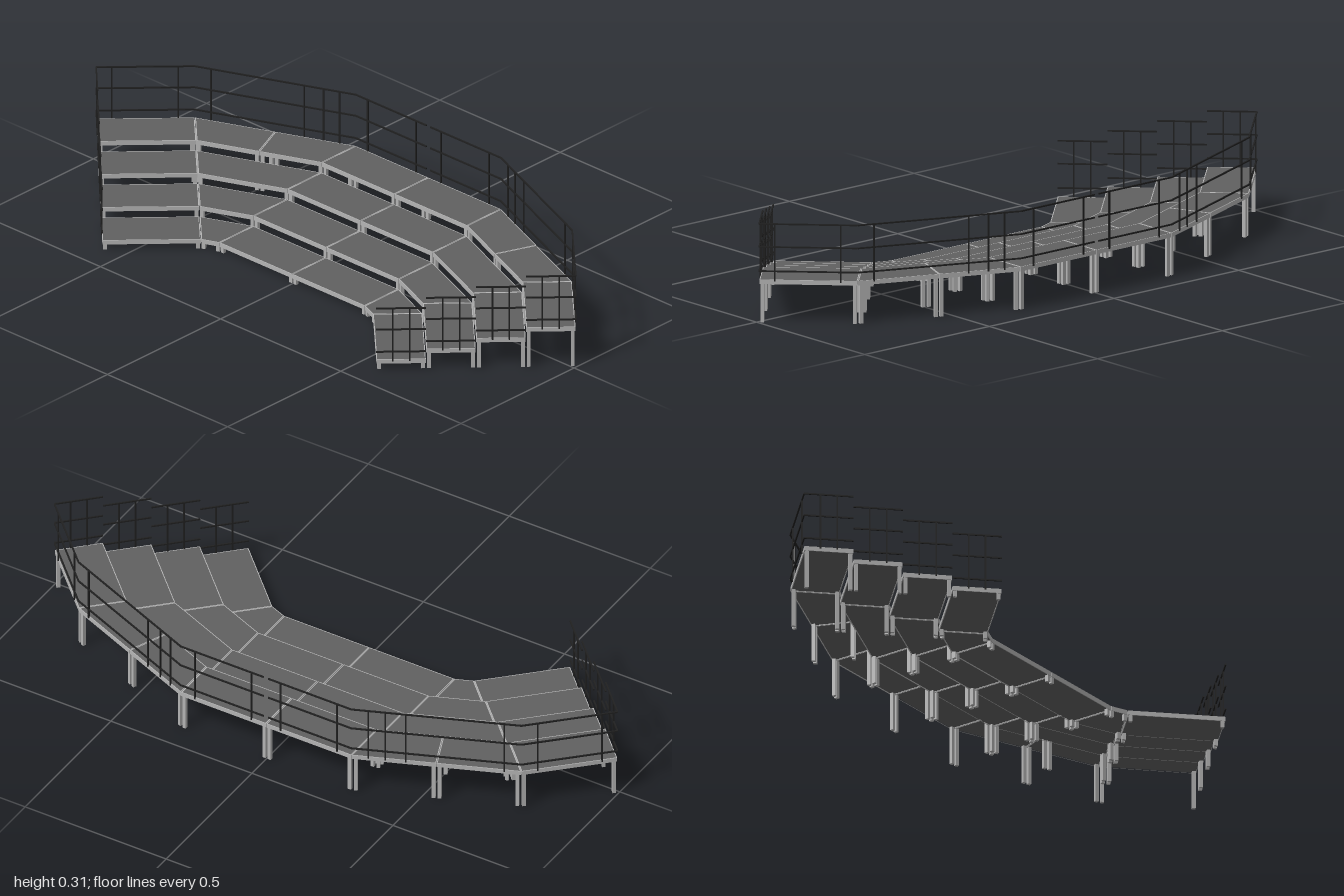
import * as THREE from 'three';

const frameMat = new THREE.MeshStandardMaterial({ color: 0xb4b4b4 });
const deckMat = new THREE.MeshStandardMaterial({ color: 0x606060 });
const railMat = new THREE.MeshStandardMaterial({ color: 0x202020 });

const ROWS = 4, DECK = 0.014, LEG = 0.011, RAIL = 0.0045;
const topOf = row => 0.033 + row * 0.034;
const lerp = (a, b, t) => [a[0] + (b[0] - a[0]) * t, a[1] + (b[1] - a[1]) * t];

// Plan lines (x, z) running from the front edge to the back edge of the stand
const lines = {
  middle: [[0, 0.185], [0, -0.418]],
  inner: [[0.302, 0.185], [0.302, -0.418]],
  outer: [[0.357, 0.207], [0.785, -0.22]],
  end: [[0.57, 0.418], [0.998, -0.01]],
};
const at = (name, step) => lerp(...lines[name], step / ROWS);

// Moves every edge of a convex outline inwards by d
function inset(poly, d) {
  return poly.map((p, i) => {
    const n = poly.length, a = poly[(i + 1) % n], b = poly[(i + n - 1) % n];
    const u = new THREE.Vector2(a[0] - p[0], a[1] - p[1]).normalize();
    const v = new THREE.Vector2(b[0] - p[0], b[1] - p[1]).normalize();
    const k = d / Math.abs(u.cross(v));
    return [p[0] + k * (u.x + v.x), p[1] + k * (u.y + v.y)];
  });
}

function slab(name, poly, top, height, mat, hole) {
  const vec = pts => pts.map(p => new THREE.Vector2(...p));
  const shape = new THREE.Shape(vec(poly));
  if (hole) shape.holes.push(new THREE.Path(vec(hole)));
  const geo = new THREE.ExtrudeGeometry(shape, { depth: height, bevelEnabled: false });
  geo.rotateX(Math.PI / 2).translate(0, top, 0);
  const mesh = new THREE.Mesh(geo, mat);
  mesh.name = name;
  return mesh;
}

// Upright square bar at plan point p
function upright(name, p, y0, y1, size, mat, angle) {
  const mesh = new THREE.Mesh(new THREE.BoxGeometry(size, y1 - y0, size), mat);
  mesh.position.set(p[0], (y0 + y1) / 2, p[1]);
  mesh.rotation.y = angle;
  mesh.name = name;
  return mesh;
}

// One platform: metal frame, deck panel and a leg at every corner
function platform(outline, row) {
  const g = new THREE.Group(), top = topOf(row);
  g.name = 'platform';
  const edge = inset(outline, 0.0008), panel = inset(outline, 0.0035);
  g.add(slab('frame', edge, top, DECK, frameMat, panel));
  g.add(slab('deckPanel', panel, top, DECK - 0.002, deckMat));
  const angle = -Math.atan2(outline[1][1] - outline[0][1], outline[1][0] - outline[0][0]);
  for (const p of inset(outline, 0.009))
    g.add(upright('leg', p, 0, top - DECK + 0.003, LEG, frameMat, angle));
  return g;
}

// Three rails from a to b, with posts at the given fractions
function railing(name, a, b, row, posts) {
  const g = new THREE.Group(), top = topOf(row);
  g.name = name;
  const dx = b[0] - a[0], dz = b[1] - a[1], angle = -Math.atan2(dz, dx);
  const mid = lerp(a, b, 0.5);
  for (const h of [0.027, 0.103, 0.175]) {
    const rail = new THREE.Mesh(new THREE.BoxGeometry(Math.hypot(dx, dz), RAIL, RAIL), railMat);
    rail.position.set(mid[0], top + h, mid[1]);
    rail.rotation.y = angle;
    rail.name = 'rail';
    g.add(rail);
  }
  for (const t of posts)
    g.add(upright('post', lerp(a, b, t), top - 0.005, top + 0.175, RAIL, railMat, angle));
  return g;
}

function createHalf(side) {
  const half = new THREE.Group();
  half.name = side > 0 ? 'leftHalf' : 'rightHalf';
  const m = p => [p[0] * side, p[1]];
  const add = (row, ...pts) => half.add(platform(pts.map(m), row));

  for (let r = 0; r < ROWS; r++) {
    const [m0, m1, i0, i1, o0, o1, e0, e1] =
      ['middle', 'inner', 'outer', 'end'].flatMap(n => [at(n, r), at(n, r + 1)]);
    add(r, m0, i0, i1, m1);
    // The long wedge of the highest row is made of two platforms
    if (r === ROWS - 1) {
      const c0 = lerp(i0, o0, 0.5), c1 = lerp(i1, o1, 0.5);
      add(r, i0, c0, c1, i1);
      add(r, c0, o0, o1, c1);
    } else add(r, i0, o0, o1, i1);
    add(r, o0, e0, e1, o1);
    half.add(railing('endRailing', m(e0), m(e1), r, [0.33, 0.67]));
  }

  // Back railing along the highest row
  const back = n => at(n, ROWS), top = ROWS - 1;
  half.add(railing('backRailing', m([0.008, back('middle')[1]]), m(back('inner')), top, [0.15, 0.83]));
  half.add(railing('wedgeRailing', m(back('inner')), m(back('outer')), top, [0.1, 0.2, 0.32, 0.9]));
  half.add(railing('wingRailing', m(back('outer')), m(back('end')), top, [0.17, 0.84]));
  return half;
}

export function createModel() {
  const model = new THREE.Group();
  model.name = 'tieredStand';
  model.add(createHalf(1), createHalf(-1));
  return model;
}
